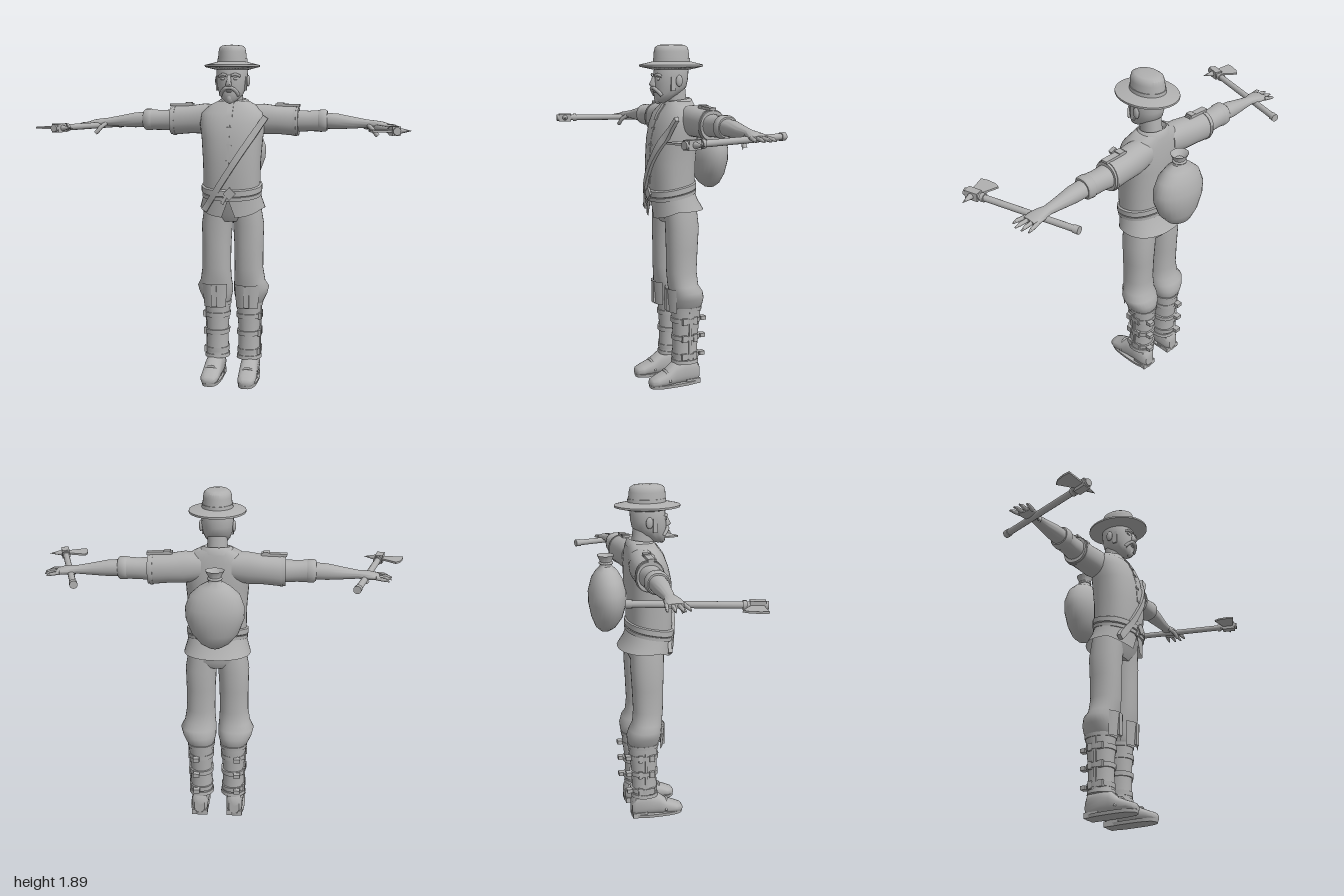
import * as THREE from 'three';
import { toCreasedNormals } from 'three/addons/utils/BufferGeometryUtils.js';

const clay = new THREE.MeshStandardMaterial({ color: 0xb0b0b0 });
clay.name = 'clay grey';
const clayOpen = clay.clone();
clayOpen.side = THREE.DoubleSide;

const sgnPow = (v, e) => Math.sign(v) * Math.abs(v) ** e;

// Loft of oval rings [t, centreU, centreV, radiusU, radiusV] along an axis.
function loft(rings, { axis = 'y', seg = 28, n = 2.2, caps = true, rule = null, crease = 0.75 } = {}) {
  const pos = [], idx = [];
  const put = (t, u, v) => {
    const p = axis === 'y' ? [u, t, v] : axis === 'x' ? [t, u, -v] : [u, -v, t];
    if (rule) rule(p);
    pos.push(...p);
  };
  const flip = axis === 'y' ? 1 : -1;
  for (const [t, cu, cv, ru, rv] of rings) {
    for (let j = 0; j < seg; j++) {
      const a = j / seg * Math.PI * 2;
      put(t, cu + ru * sgnPow(Math.cos(a), 2 / n), flip * cv + rv * sgnPow(Math.sin(a), 2 / n));
    }
  }
  const last = rings.length - 1;
  for (let i = 0; i < last; i++) for (let j = 0; j < seg; j++) {
    const a = i * seg + j, b = i * seg + (j + 1) % seg;
    idx.push(a, a + seg, b, b, a + seg, b + seg);
  }
  if (caps) for (const [i, end] of [[0, false], [last, true]]) {
    const c = pos.length / 3, [t, cu, cv] = rings[i];
    put(t, cu, flip * cv);
    for (let j = 0; j < seg; j++) {
      const a = i * seg + j, b = i * seg + (j + 1) % seg;
      idx.push(c, ...(end ? [b, a] : [a, b]));
    }
  }
  const g = new THREE.BufferGeometry();
  g.setAttribute('position', new THREE.Float32BufferAttribute(pos, 3));
  g.setIndex(idx);
  return toCreasedNormals(g, crease);
}

// Mirror a geometry across x and restore the winding.
function mirrored(geo) {
  const g = geo.index ? geo.toNonIndexed() : geo.clone();
  g.scale(-1, 1, 1);
  for (const name of ['position', 'normal']) {
    const a = g.attributes[name].array;
    for (let i = 0; i < a.length; i += 9) for (let k = 0; k < 3; k++)
      [a[i + 3 + k], a[i + 6 + k]] = [a[i + 6 + k], a[i + 3 + k]];
  }
  return g;
}

function add(parent, name, geo, mat = clay) {
  const m = new THREE.Mesh(geo, mat);
  m.name = name;
  parent.add(m);
  return m;
}
function pair(parent, name, geo, mat = clay) {
  add(parent, name + 'Left', geo, mat);
  add(parent, name + 'Right', mirrored(geo), mat);
}
const box = (w, h, d, x, y, z, rz = 0) => new THREE.BoxGeometry(w, h, d).rotateZ(rz).translate(x, y, z);
const tube = (pts, r) => new THREE.TubeGeometry(new THREE.CatmullRomCurve3(pts.map(p => new THREE.Vector3(...p))), 10, r, 8);
const ball = (r, sx, sy, sz, x, y, z) => new THREE.SphereGeometry(r, 14, 10).scale(sx, sy, sz).translate(x, y, z);

const TORSO = [
  [1.05, 0, -0.03, 0.155, 0.118], [1.13, 0, -0.03, 0.158, 0.122], [1.25, 0, -0.03, 0.16, 0.125],
  [1.38, 0, -0.04, 0.17, 0.125], [1.46, 0, -0.05, 0.182, 0.115], [1.52, 0, -0.06, 0.175, 0.1],
  [1.562, 0, -0.073, 0.13, 0.082], [1.585, 0, -0.077, 0.085, 0.072], [1.575, 0, -0.077, 0.06, 0.06],
];
// Depth of the jacket front at a given spot.
function frontZ(x, y) {
  let i = 0;
  while (i < 6 && TORSO[i + 1][0] < y) i++;
  const A = TORSO[i], B = TORSO[i + 1];
  const k = THREE.MathUtils.clamp((y - A[0]) / (B[0] - A[0]), 0, 1);
  const [, , cz, rx, rz] = A.map((v, j) => v + (B[j] - v) * k);
  return cz + rz * Math.max(0.4, 1 - Math.min(1, Math.abs(x / rx)) ** 2.4) ** (1 / 2.4);
}
// Lay a segmented flat part over the jacket front.
function drape(geo) {
  const p = geo.attributes.position;
  for (let i = 0; i < p.count; i++) p.setZ(i, p.getZ(i) + frontZ(p.getX(i), p.getY(i)));
  return toCreasedNormals(geo, 0.6);
}

function makeHead(g) {
  add(g, 'neck', loft([[1.5, 0, -0.075, 0.055, 0.058], [1.66, 0, -0.055, 0.052, 0.06]]));
  add(g, 'head', loft([
    [1.578, 0, 0.025, 0.022, 0.024], [1.595, 0, 0.015, 0.045, 0.045], [1.625, 0, -0.01, 0.066, 0.07],
    [1.66, 0, -0.028, 0.078, 0.092], [1.7, 0, -0.032, 0.084, 0.097], [1.75, 0, -0.037, 0.086, 0.095], [1.79, 0, -0.04, 0.075, 0.085],
  ], { n: 2.1, crease: 1.2 }));
  add(g, 'nose', loft([[1.665, 0, 0.068, 0.016, 0.014], [1.675, 0, 0.07, 0.017, 0.024], [1.7, 0, 0.064, 0.011, 0.016], [1.725, 0, 0.058, 0.009, 0.009]], { seg: 10, crease: 1.4 }));
  add(g, 'goatee', ball(0.025, 0.9, 1.2, 0.8, 0, 1.6, 0.042));
  add(g, 'lowerLip', ball(0.012, 1.3, 0.5, 0.8, 0, 1.637, 0.06));
  pair(g, 'moustache', tube([[0, 1.658, 0.069], [0.02, 1.654, 0.07], [0.04, 1.636, 0.055], [0.05, 1.617, 0.04]], 0.01));
  pair(g, 'brow', tube([[0.012, 1.722, 0.064], [0.035, 1.728, 0.06], [0.058, 1.719, 0.044]], 0.008));
  pair(g, 'eye', ball(0.011, 1.2, 0.7, 0.7, 0.034, 1.705, 0.055));
  pair(g, 'ear', ball(0.026, 0.4, 1.2, 0.75, 0.087, 1.695, -0.045));
  pair(g, 'sideburn', box(0.008, 0.075, 0.025, 0.08, 1.68, -0.012));
  add(g, 'hatBrim', loft([[1.755, 0, -0.04, 0.09, 0.11], [1.77, 0, -0.037, 0.15, 0.178], [1.78, 0, -0.037, 0.15, 0.178], [1.8, 0, -0.04, 0.07, 0.095]], { seg: 40, n: 2 }));
  add(g, 'hatCrown', loft([[1.785, 0, -0.04, 0.08, 0.102], [1.85, 0, -0.038, 0.075, 0.098], [1.873, 0, -0.038, 0.07, 0.092], [1.884, 0, -0.038, 0.056, 0.075], [1.888, 0, -0.038, 0.03, 0.04]], { seg: 36, n: 2 }));
  add(g, 'hatBand', loft([[1.785, 0, -0.04, 0.084, 0.106], [1.815, 0, -0.04, 0.081, 0.103]], { seg: 36, n: 2 }));
}

function makeBody(g) {
  add(g, 'jacket', loft(TORSO, { n: 2.4, seg: 36, crease: 1 }));
  add(g, 'collar', loft([[1.56, 0, -0.077, 0.1, 0.08], [1.59, 0, -0.077, 0.083, 0.073], [1.598, 0, -0.077, 0.07, 0.064], [1.575, 0, -0.077, 0.06, 0.055]],
    { caps: false, rule: p => { p[1] -= 0.12 * (p[2] + 0.1); } }), clayOpen);
  add(g, 'hips', loft([[0.92, 0, -0.06, 0.12, 0.075], [0.96, 0, -0.06, 0.16, 0.095], [1.08, 0, -0.04, 0.15, 0.11]], { n: 2.4 }));
  // Flared jacket hem, longer in front and notched in the middle
  add(g, 'jacketSkirt', loft([[1.11, 0, -0.03, 0.155, 0.12], [1.05, 0, -0.042, 0.166, 0.13], [0.99, 0, -0.06, 0.183, 0.146]].reverse(), {
    n: 2.2, seg: 36, caps: false, rule: p => {
      if (p[1] < 1) p[1] = p[2] > 0 && Math.abs(p[0]) < 0.01 ? 1.05 : 0.995 - 0.045 * Math.max(0, p[2] / 0.086);
    },
  }), clayOpen);
  const tilt = p => { p[1] -= 0.2 * (p[2] + 0.03); };
  add(g, 'belt', loft([[1.09, 0, -0.03, 0.163, 0.127], [1.095, 0, -0.03, 0.169, 0.133], [1.125, 0, -0.03, 0.169, 0.133], [1.13, 0, -0.03, 0.16, 0.125]], { n: 2.3, seg: 36, rule: tilt }));
  add(g, 'lowerBelt', loft([[1.068, 0, -0.032, 0.165, 0.13], [1.088, 0, -0.032, 0.166, 0.131]], { n: 2.3, seg: 36, rule: tilt }));
  add(g, 'buckle', box(0.05, 0.05, 0.012, 0.01, 1.085, 0.104, Math.PI / 4));
  add(g, 'buckleTongue', box(0.016, 0.05, 0.008, -0.02, 1.05, 0.1, -0.5));
  // Front closing, tabs and shoulder strap
  add(g, 'placket', drape(new THREE.BoxGeometry(0.032, 0.085, 0.012, 2, 6, 1).translate(0, 1.528, 0)));
  add(g, 'frontSeam', drape(new THREE.BoxGeometry(0.012, 0.35, 0.004, 1, 12, 1).translate(0, 1.31, 0)));
  for (const y of [1.44, 1.35, 1.26, 1.18]) add(g, 'frontTab', drape(new THREE.BoxGeometry(0.03, 0.01, 0.01).translate(0.004, y, 0)));
  add(g, 'shoulderStrap', drape(new THREE.BoxGeometry(0.615, 0.034, 0.022, 28, 1, 1).rotateZ(Math.atan2(0.515, 0.335)).translate(0.028, 1.243, 0.006)));
}

function makeArms(g) {
  pair(g, 'upperSleeve', loft([[0.08, 1.49, -0.09, 0.075, 0.07], [0.17, 1.485, -0.1, 0.084, 0.075], [0.25, 1.48, -0.105, 0.078, 0.073], [0.34, 1.474, -0.107, 0.08, 0.073], [0.362, 1.474, -0.107, 0.078, 0.071]], { axis: 'x' }));
  pair(g, 'upperCuff', loft([[0.335, 1.474, -0.107, 0.083, 0.076], [0.35, 1.474, -0.107, 0.083, 0.076]], { axis: 'x' }));
  pair(g, 'lowerSleeve', loft([[0.34, 1.475, -0.107, 0.06, 0.062], [0.42, 1.475, -0.107, 0.056, 0.055], [0.48, 1.477, -0.107, 0.058, 0.058]], { axis: 'x' }));
  pair(g, 'rolledCuff', loft([[0.47, 1.477, -0.107, 0.056, 0.056], [0.48, 1.477, -0.107, 0.061, 0.062], [0.51, 1.478, -0.107, 0.06, 0.06], [0.52, 1.478, -0.107, 0.052, 0.052]], { axis: 'x' }));
  pair(g, 'forearm', loft([[0.5, 1.478, -0.107, 0.044, 0.047], [0.58, 1.474, -0.107, 0.042, 0.045], [0.66, 1.468, -0.107, 0.032, 0.035], [0.74, 1.463, -0.107, 0.022, 0.028],
    [0.78, 1.46, -0.105, 0.021, 0.042], [0.82, 1.456, -0.105, 0.019, 0.048], [0.85, 1.453, -0.105, 0.012, 0.045]], { axis: 'x', crease: 1.2 }));
  [-0.145, -0.118, -0.09, -0.064].forEach((z, i) => {
    const len = [0.06, 0.075, 0.08, 0.065][i], dz = (z + 0.105) * 0.25;
    pair(g, 'finger', loft([[0.83, 1.454, z, 0.011, 0.011], [0.84 + len * 0.6, 1.449, z + dz, 0.01, 0.0095], [0.838 + len, 1.442, z + dz * 1.4, 0.004, 0.004]], { axis: 'x', seg: 10 }));
  });
  pair(g, 'thumb', tube([[0.745, 1.455, -0.085], [0.77, 1.432, -0.06], [0.785, 1.412, -0.052], [0.798, 1.4, -0.05]], 0.012));
  // Shoulder tabs
  pair(g, 'shoulderTab', box(0.135, 0.014, 0.036, 0.3, 1.562, -0.103, -0.03));
  pair(g, 'shoulderTabBuckle', box(0.035, 0.012, 0.042, 0.26, 1.57, -0.103, -0.03));
}

function makeLegs(g) {
  pair(g, 'trouserLeg', loft([[0.43, 0.092, -0.085, 0.065, 0.075], [0.46, 0.095, -0.087, 0.08, 0.09], [0.5, 0.1, -0.085, 0.094, 0.096], [0.54, 0.105, -0.078, 0.1, 0.09], [0.575, 0.097, -0.065, 0.088, 0.083],
    [0.65, 0.093, -0.058, 0.08, 0.083], [0.78, 0.092, -0.06, 0.081, 0.087], [0.9, 0.09, -0.062, 0.086, 0.092], [1.03, 0.075, -0.055, 0.08, 0.09]], { crease: 1.2 }));
  pair(g, 'kneeGuard', new THREE.CylinderGeometry(0.094, 0.082, 0.135, 6, 1, true, -0.85, 1.7).translate(0.092, 0.495, -0.058), clayOpen);
  pair(g, 'kneeGuardRidge', box(0.03, 0.12, 0.02, 0.092, 0.495, 0.026));
  pair(g, 'gaiter', loft([[0.125, 0.092, -0.08, 0.067, 0.072], [0.15, 0.092, -0.08, 0.063, 0.07], [0.28, 0.092, -0.083, 0.06, 0.071], [0.4, 0.092, -0.087, 0.069, 0.081], [0.45, 0.092, -0.087, 0.073, 0.084]]));
  pair(g, 'gaiterTopTrim', loft([[0.43, 0.092, -0.087, 0.076, 0.087], [0.45, 0.092, -0.087, 0.078, 0.089]]));
  pair(g, 'gaiterHem', loft([[0.125, 0.092, -0.08, 0.071, 0.077], [0.145, 0.092, -0.08, 0.069, 0.075]]));
  pair(g, 'gaiterSeam', box(0.012, 0.3, 0.014, 0.155, 0.29, -0.083, -0.03));
  for (const y of [0.17, 0.275, 0.375]) {
    const grow = (y - 0.17) * 0.03;
    pair(g, 'gaiterStrap', loft([[y - 0.013, 0.092, -0.084, 0.066 + grow, 0.077 + grow], [y + 0.013, 0.092, -0.084, 0.067 + grow, 0.078 + grow]]));
    pair(g, 'strapBuckle', box(0.018, 0.036, 0.03, 0.153 + grow, y, -0.05));
    pair(g, 'strapKeeper', box(0.016, 0.042, 0.022, 0.15 + grow, y, -0.115));
    pair(g, 'strapEnd', box(0.035, 0.022, 0.03, 0.115, y, -0.172 - grow));
  }
  // Shoes
  pair(g, 'sole', loft([[0, 0.104, -0.01, 0.052, 0.148], [0.018, 0.104, -0.01, 0.055, 0.151]], { n: 2.8 }));
  pair(g, 'heel', box(0.09, 0.03, 0.085, 0.1, 0.015, -0.113));
  pair(g, 'shoe', loft([[-0.158, 0.1, 0.062, 0.03, 0.045], [-0.14, 0.1, 0.072, 0.046, 0.066], [-0.06, 0.1, 0.077, 0.05, 0.071], [-0.005, 0.102, 0.068, 0.051, 0.062],
    [0.04, 0.104, 0.049, 0.052, 0.043], [0.1, 0.106, 0.036, 0.05, 0.029], [0.13, 0.106, 0.031, 0.038, 0.022], [0.14, 0.106, 0.028, 0.02, 0.012]], { axis: 'z', n: 2.5 }));
  pair(g, 'toeSeam', tube([[0.053, 0.035, 0.035], [0.075, 0.08, 0.045], [0.104, 0.092, 0.05], [0.133, 0.08, 0.045], [0.156, 0.035, 0.035]], 0.007));
}

function makeSack(g) {
  add(g, 'sack', loft([[1.1, 0, -0.275, 0.03, 0.025], [1.125, 0, -0.272, 0.075, 0.055], [1.18, 0, -0.265, 0.123, 0.084], [1.26, 0, -0.262, 0.153, 0.102], [1.32, 0, -0.262, 0.156, 0.102],
    [1.39, 0, -0.262, 0.13, 0.084], [1.435, 0, -0.263, 0.08, 0.058], [1.46, 0, -0.265, 0.036, 0.034], [1.482, 0, -0.266, 0.03, 0.03], [1.52, 0, -0.267, 0.05, 0.046], [1.49, 0, -0.267, 0.022, 0.022]], { n: 2 }));
  add(g, 'sackTie', new THREE.TorusGeometry(0.032, 0.007, 8, 20).rotateX(Math.PI / 2).translate(0, 1.477, -0.266));
}

function makeAxe(angle, x) {
  const axe = new THREE.Group();
  axe.name = 'handAxe';
  const rod = (r, len, z) => new THREE.CylinderGeometry(r, r, len, 14).rotateX(Math.PI / 2).translate(0, 0, z);
  add(axe, 'handle', rod(0.017, 0.62, 0.005));
  add(axe, 'pommel', rod(0.021, 0.03, -0.31));
  add(axe, 'headCollar', rod(0.023, 0.02, 0.225));
  add(axe, 'headSocket', box(0.042, 0.046, 0.075, 0, 0, 0.285));
  add(axe, 'headCap', rod(0.02, 0.02, 0.325));
  const s = new THREE.Shape([[-0.01, 0.258], [-0.105, 0.21], [-0.122, 0.24], [-0.128, 0.29], [-0.123, 0.33], [-0.01, 0.31]].map(p => new THREE.Vector2(...p)));
  add(axe, 'blade', new THREE.ExtrudeGeometry(s, { depth: 0.01, bevelEnabled: false }).rotateX(Math.PI / 2).translate(0, 0.005, 0));
  add(axe, 'spike', new THREE.ConeGeometry(0.018, 0.075, 8).rotateZ(-Math.PI / 2).translate(0.052, 0, 0.285));
  axe.rotation.y = angle;
  axe.position.set(x, 1.443, 0);
  return axe;
}

export function createModel() {
  const root = new THREE.Group();
  root.name = 'frontierScout';
  const body = new THREE.Group();
  body.name = 'figure';
  body.position.x = 0.025;
  root.add(body);
  for (const make of [makeHead, makeBody, makeArms, makeLegs, makeSack]) make(body);
  body.add(makeAxe(-0.28, -0.811), makeAxe(0.28, 0.811));
  return root;
}
